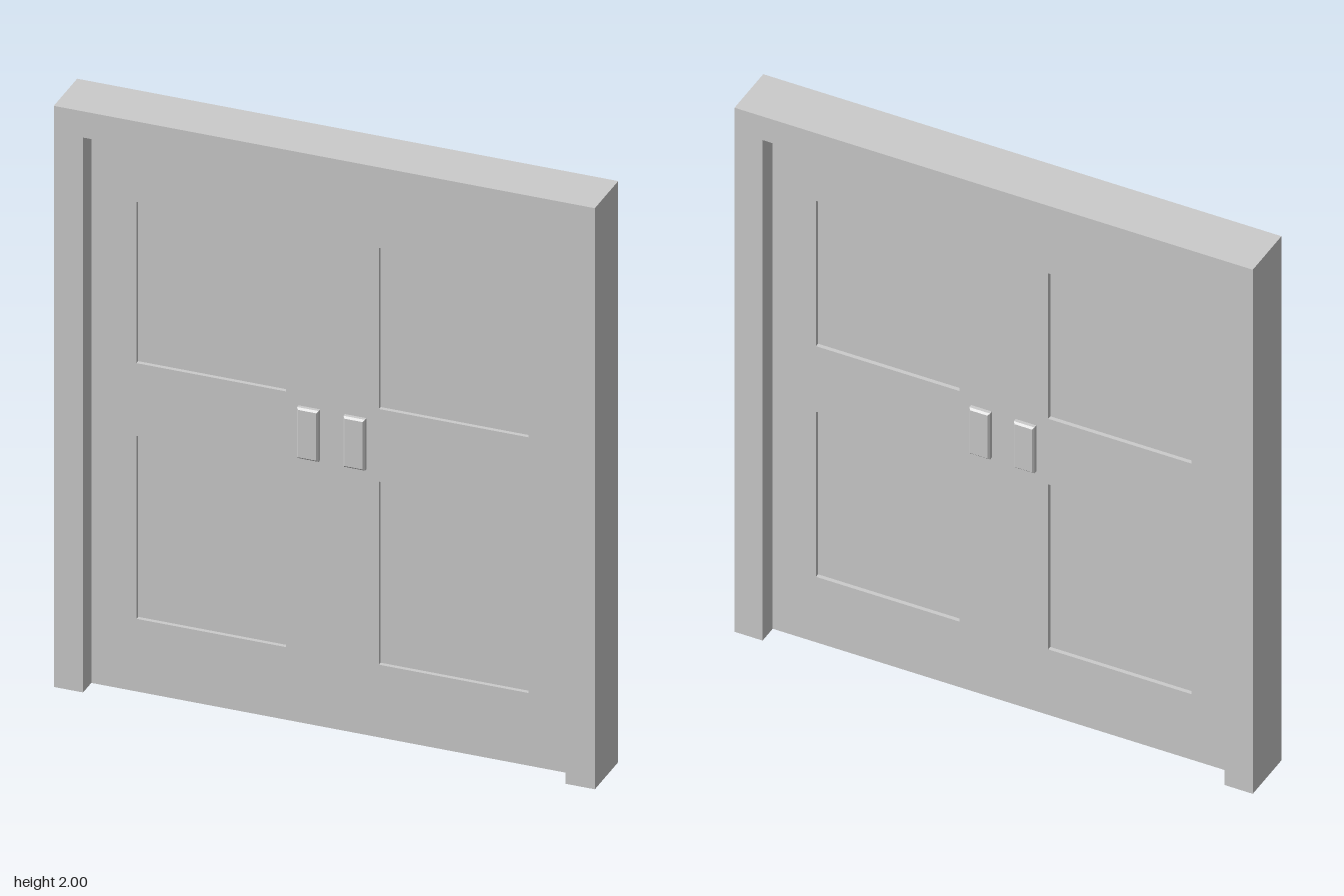
import * as THREE from 'three';

const W = 0.887, H = 2, DEPTH = 0.19;         // outer frame half width, height, depth
const OPEN_W = 0.791, OPEN_H = 1.91;          // opening half width and height
const SLAB = 0.056, RECESS = 0.014;           // door thickness, panel recess

const material = new THREE.MeshStandardMaterial({ color: 0xcccccc, flatShading: true });

function polygon(points, Type = THREE.Shape) {
  return new Type(points.map(([x, y]) => new THREE.Vector2(x, y)));
}

function rect(x0, y0, x1, y1, Type) {
  return polygon([[x0, y0], [x1, y0], [x1, y1], [x0, y1]], Type);
}

// Extrusion centred on z = 0
function slab(name, shape, depth) {
  const geometry = new THREE.ExtrudeGeometry(shape, { depth, bevelEnabled: false });
  geometry.translate(0, 0, -depth / 2);
  const mesh = new THREE.Mesh(geometry, material);
  mesh.name = name;
  return mesh;
}

export function createModel() {
  const model = new THREE.Group();
  model.name = 'doubleDoor';

  // Frame: two jambs and a header, open at the floor
  model.add(slab('frame', polygon([
    [-W, 0], [-OPEN_W, 0], [-OPEN_W, OPEN_H], [OPEN_W, OPEN_H],
    [OPEN_W, 0], [W, 0], [W, H], [-W, H],
  ]), DEPTH));

  // Door with four panel openings, each closed by a thinner inset panel
  const door = rect(-OPEN_W, 0, OPEN_W, OPEN_H);
  for (const side of [-1, 1]) {
    for (const [y0, y1] of [[0.25, 0.88], [1.13, 1.685]]) {
      const [x0, x1] = [side * 0.152, side * 0.643].sort((a, b) => a - b);
      door.holes.push(rect(x0, y0, x1, y1, THREE.Path));
      model.add(slab('insetPanel', rect(x0, y0, x1, y1), SLAB - 2 * RECESS));
    }
  }
  model.add(slab('door', door, SLAB));

  // Raised handle plates with chamfered edges, on both faces
  const bevel = 0.006;
  const plate = new THREE.ExtrudeGeometry(rect(-0.0295, -0.0815, 0.0295, 0.0815), {
    depth: 0.012, bevelThickness: bevel, bevelSize: bevel, bevelSegments: 1,
  });
  for (const x of [-0.076, 0.076]) {
    for (const face of [1, -1]) {
      const handle = new THREE.Mesh(plate, material);
      handle.name = 'handlePlate';
      handle.position.set(x, 1.003, face * SLAB / 2);
      if (face < 0) handle.rotation.y = Math.PI;
      model.add(handle);
    }
  }
  return model;
}
